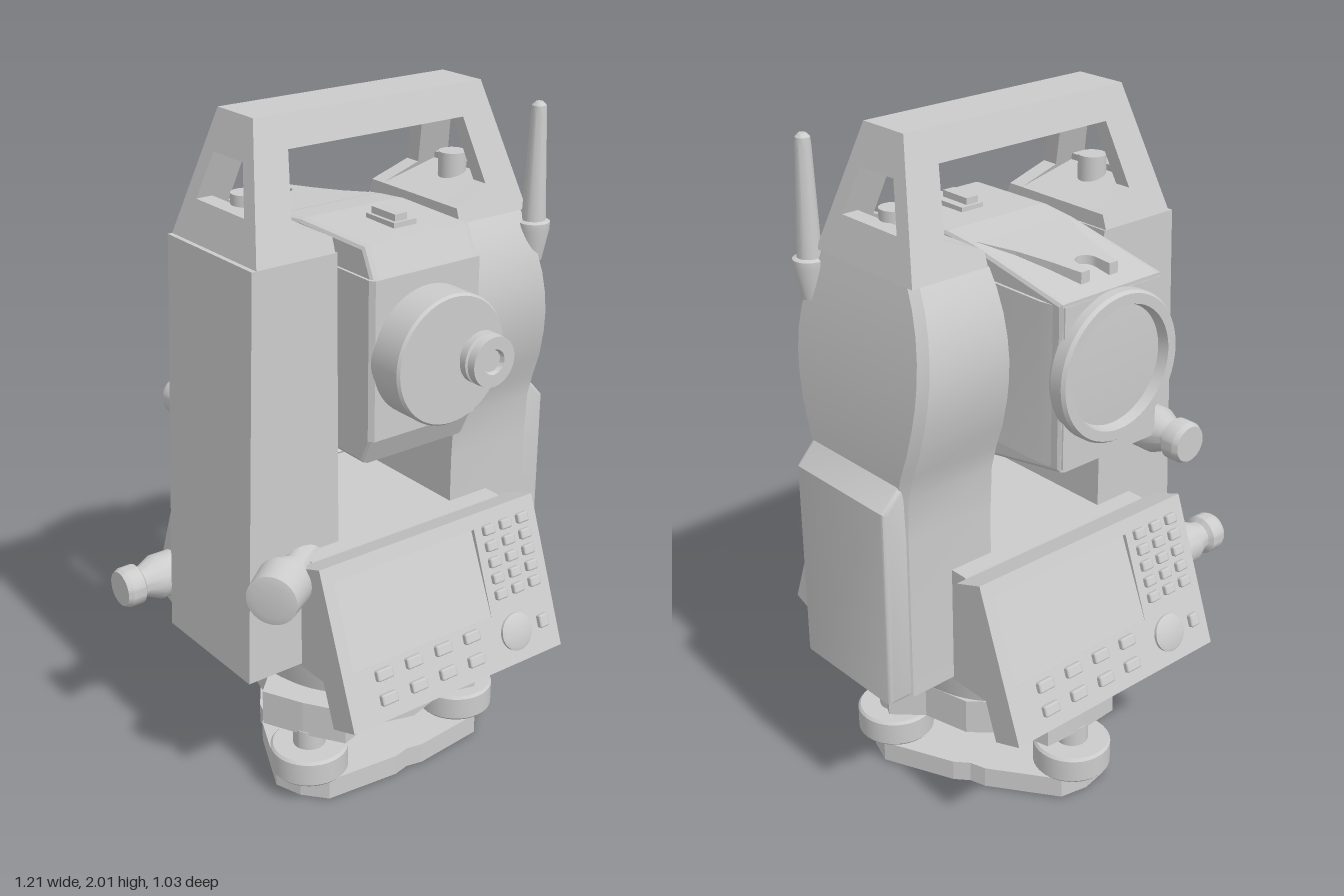
import * as THREE from 'three';
import { toCreasedNormals } from 'three/addons/utils/BufferGeometryUtils.js';
import { RoundedBoxGeometry } from 'three/addons/geometries/RoundedBoxGeometry.js';

const CX = 0.034; // vertical axis of the instrument
const mat = new THREE.MeshStandardMaterial({ color: 0xcccccc });

function add(parent, name, geo, x = 0, y = 0, z = 0) {
  const m = new THREE.Mesh(geo, mat);
  m.name = name;
  m.position.set(x, y, z);
  parent.add(m);
  return m;
}
const box = (w, h, d) => new THREE.BoxGeometry(w, h, d);
const poly = pts => new THREE.Shape(pts.map(p => new THREE.Vector2(...p)));
const lathe = (pts, n = 40) => toCreasedNormals(
  new THREE.LatheGeometry(pts.map(p => new THREE.Vector2(...p)), n), 0.5);

// Lathed part whose axis runs from a point along a direction
function turned(parent, name, pts, pos, dir, n) {
  const m = add(parent, name, lathe(pts, n), ...pos);
  m.quaternion.setFromUnitVectors(new THREE.Vector3(0, 1, 0), new THREE.Vector3(...dir).normalize());
  return m;
}

// Skin through rings of points, counterclockwise seen from above
const rect = (y, x0, x1, z0, z1) => [[x0, y, z1], [x1, y, z1], [x1, y, z0], [x0, y, z0]];
function loft(rings) {
  const n = rings[0].length, v = [], last = rings.length - 1;
  for (let i = 0; i < last; i++) for (let j = 0; j < n; j++) {
    const k = (j + 1) % n, a = rings[i][j], b = rings[i][k], c = rings[i + 1][k], d = rings[i + 1][j];
    v.push(...a, ...b, ...c, ...a, ...c, ...d);
  }
  for (let j = 1; j < n - 1; j++) {
    v.push(...rings[0][0], ...rings[0][j + 1], ...rings[0][j]);
    v.push(...rings[last][0], ...rings[last][j], ...rings[last][j + 1]);
  }
  const g = new THREE.BufferGeometry();
  g.setAttribute('position', new THREE.Float32BufferAttribute(v, 3));
  g.computeVertexNormals();
  return toCreasedNormals(g, 0.5);
}

// Three-lobed plate: polar points [radius, degrees] repeated at each corner
function triPlate(pts, h) {
  const all = [];
  for (const corner of [90, 210, 330]) for (const [r, deg] of pts) {
    const a = THREE.MathUtils.degToRad(corner + deg);
    all.push([r * Math.cos(a), r * Math.sin(a)]);
  }
  return new THREE.ExtrudeGeometry(poly(all), { depth: h, bevelEnabled: false }).rotateX(-Math.PI / 2);
}

// Thin wall leaning outward towards the bottom
function leaningWall(shape, topZ, slope) {
  const g = new THREE.ExtrudeGeometry(shape, { depth: 0.05, bevelEnabled: false });
  const p = g.attributes.position;
  for (let i = 0; i < p.count; i++) p.setZ(i, p.getZ(i) - 0.05 + topZ + (2 - p.getY(i)) * slope);
  g.computeVertexNormals();
  return g;
}

function makeBase() {
  const g = new THREE.Group();
  g.name = 'levellingBase';
  g.position.x = CX;
  const plate = triPlate([[0.385, -13], [0.392, 0], [0.385, 13], [0.29, 50], [0.275, 60], [0.29, 70]], 0.065);
  add(g, 'basePlate', plate);
  add(g, 'upperPlate', triPlate([[0.385, -20], [0.37, 0], [0.385, 20], [0.3, 32], [0.305, 60], [0.3, 88]], 0.11), 0, 0.2);
  add(g, 'baseSocket', new THREE.CylinderGeometry(0.04, 0.04, 0.012, 24), 0, 0.001);
  for (const deg of [90, 210, 330]) {
    const a = THREE.MathUtils.degToRad(deg), x = 0.325 * Math.cos(a), z = -0.325 * Math.sin(a);
    add(g, 'footScrew', lathe([[0, 0.065], [0.108, 0.065], [0.115, 0.073], [0.115, 0.142],
      [0.108, 0.15], [0.048, 0.15], [0.048, 0.21], [0, 0.21]]), x, 0, z);
  }
  add(g, 'turntable', lathe([[0, 0.3], [0.29, 0.3], [0.295, 0.33], [0.315, 0.33], [0.345, 0.46], [0, 0.46]], 64));
  return g;
}

function makePanel() {
  const tilt = new THREE.Group();
  tilt.name = 'controlPanel';
  tilt.position.set(0, 0.41, 0.515);
  tilt.rotation.x = -Math.PI / 9;
  const W = 0.3825, L = 0.463;
  add(tilt, 'panelBody', box(2 * W, L, 0.085), 0, L / 2, -0.0575);
  const face = poly([[-W, 0], [W, 0], [W, L], [-W, L]]);
  face.holes.push(new THREE.Path([[-0.345, 0.16], [-0.345, 0.42], [0.15, 0.42], [0.15, 0.16]].map(p => new THREE.Vector2(...p))));
  add(tilt, 'panelFace', new THREE.ExtrudeGeometry(face, { depth: 0.015, bevelEnabled: false }), 0, 0, -0.015);
  // sloping display, flush with the face at its lower edge
  add(tilt, 'display', loft([rect(0.16, -0.345, 0.15, -0.02, -0.001), rect(0.42, -0.345, 0.15, -0.02, -0.013)]));
  const key = (w, h, x, v) => add(tilt, 'key', new RoundedBoxGeometry(w, h, 0.026, 1, 0.006), x, v, 0.002);
  for (let r = 0; r < 5; r++) for (let c = 0; c < 3; c++) key(0.04, 0.03, 0.197 + c * 0.064, 0.215 + r * 0.048);
  for (let r = 0; r < 2; r++) for (let c = 0; c < 4; c++) key(0.055, 0.033, -0.252 + c * 0.105, 0.06 + r * 0.07);
  key(0.035, 0.04, 0.328, 0.093);
  turned(tilt, 'roundKey', [[0, 0], [0.055, 0], [0.055, 0.008], [0.045, 0.013], [0, 0.013]], [0.226, 0.092, 0], [0, 0, 1]);
  return tilt;
}

function makeHandle() {
  const g = new THREE.Group();
  g.name = 'carryHandle';
  g.position.x = CX;
  const arch = poly([[-0.455, 1.65], [-0.21, 1.65], [-0.21, 1.69], [-0.325, 1.737], [-0.29, 1.915],
    [0.29, 1.915], [0.325, 1.737], [0.21, 1.69], [0.21, 1.65], [0.455, 1.65], [0.375, 2], [-0.375, 2]]);
  const end = poly([[-0.2, 1.65], [0.2, 1.65], [0.08, 2], [-0.08, 2]]);
  end.holes.push(new THREE.Path([[-0.115, 1.76], [-0.075, 1.89], [0.075, 1.89], [0.115, 1.76]].map(p => new THREE.Vector2(...p))));
  add(g, 'grip', loft([rect(1.915, -0.385, 0.385, -0.1, 0.1), rect(2, -0.375, 0.375, -0.08, 0.08)]));
  for (const s of [0, 1]) {
    add(g, 'handleSide', leaningWall(arch, 0.08, 0.343)).rotation.y = s * Math.PI;
    add(g, 'handleEnd', leaningWall(end, 0.375, 0.229)).rotation.y = Math.PI * (s - 0.5);
    const foot = new THREE.Group();
    foot.rotation.y = s * Math.PI;
    g.add(foot);
    add(foot, 'handleFoot', loft([rect(1.65, 0.21, 0.44, -0.18, 0.18),
      [[0.21, 1.69, 0.165], [0.42, 1.75, 0.15], [0.42, 1.75, -0.15], [0.21, 1.69, -0.165]]]));
    add(foot, 'handleScrew', new THREE.CylinderGeometry(0.04, 0.04, 0.09, 24), 0.35, 1.745);
  }
  return g;
}

function makeTelescope() {
  const g = new THREE.Group();
  g.name = 'telescope';
  g.position.set(CX, 1.375, 0);
  // side profile (z, y) swept across the width, with a slightly wider middle block
  const side = poly([[0.305, 0.22], [0.27, 0.295], [0, 0.3], [-0.1, 0.29], [-0.43, 0.225],
    [-0.43, -0.225], [-0.1, -0.285], [0, -0.295], [0.27, -0.295], [0.305, -0.22]]);
  const shell = new THREE.ExtrudeGeometry(side, { depth: 0.32, bevelThickness: 0.018, bevelSize: 0.012, bevelSegments: 2 });
  add(g, 'telescopeShell', shell.translate(0, 0, -0.16).rotateY(-Math.PI / 2));
  add(g, 'telescopeBody', loft([-0.225, 0.225].map(y => [[-0.175, y, 0.325], [0.175, y, 0.325], [0.186, y, 0.31],
    [0.186, y, -0.37], [0.17, y, -0.444], [-0.17, y, -0.444], [-0.186, y, -0.37], [-0.186, y, 0.31]])));
  turned(g, 'axle', [[0.1, 0], [0.1, 0.46]], [-0.23, 0, 0], [1, 0, 0]);
  turned(g, 'objective', [[0, 0], [0.2, 0], [0.207, 0.012], [0.207, 0.05], [0.2, 0.06], [0.172, 0.06], [0.165, 0.03], [0, 0.038]],
    [0, 0.025, -0.42], [0, 0, -1], 56);
  turned(g, 'eyepieceDrum', [[0, 0], [0.182, 0], [0.182, 0.112], [0.176, 0.12], [0, 0.12]], [0, 0, 0.31], [0, 0, 1], 56);
  turned(g, 'eyepiece', [[0.055, 0], [0.055, 0.02], [0.072, 0.024], [0.072, 0.045], [0.06, 0.05], [0.072, 0.055],
    [0.07, 0.078], [0.035, 0.078], [0.03, 0.066], [0, 0.066]], [0.08, 0, 0.425], [0, 0, 1]);
  // flared sight plate with a U notch at its narrow end
  const s = poly([[-0.16, 0.1], [0.16, 0.1], [0.115, 0.2], [0.085, 0.3], [0.065, 0.39], [0.035, 0.39]]);
  s.absarc(0, 0.345, 0.033, 0, Math.PI, true);
  s.lineTo(-0.035, 0.39).lineTo(-0.065, 0.39).lineTo(-0.085, 0.3).lineTo(-0.115, 0.2);
  const plate = new THREE.ExtrudeGeometry(s, { depth: 0.035, bevelEnabled: false }).rotateX(-Math.PI / 2);
  const p = plate.attributes.position;
  for (let i = 0; i < p.count; i++) p.setY(i, p.getY(i) + 0.268 + (p.getZ(i) + 0.1) * 0.09);
  plate.computeVertexNormals();
  add(g, 'sightPlate', plate);
  for (const k of [1, -1]) {
    add(g, 'peepSightBase', box(0.075, 0.03, 0.12), 0.012, k * 0.308, 0.15);
    add(g, 'peepSight', box(0.04, 0.03, 0.1), 0.005, k * 0.327, 0.15);
  }
  return g;
}

export function createModel() {
  const model = new THREE.Group();
  model.name = 'surveyInstrument';
  model.add(makeBase(), makeHandle(), makeTelescope());

  // Front and back control panels
  for (const turn of [0, Math.PI]) {
    const holder = new THREE.Group();
    holder.name = turn ? 'backPanel' : 'frontPanel';
    holder.position.x = CX;
    holder.rotation.y = turn;
    holder.add(makePanel());
    model.add(holder);
  }

  // Yoke: bridge and two standards
  add(model, 'yokeBridge', loft([rect(0.45, -0.3, 0.38, -0.375, 0.375), rect(0.81, -0.3, 0.38, -0.255, 0.255)]));
  add(model, 'rightStandard', loft([rect(0.46, -0.48, -0.17, -0.205, 0.205), rect(1.65, -0.435, -0.17, -0.2, 0.2)]));
  const swell = [[0.46, 0.2], [0.95, 0.2], [1.08, 0.206], [1.15, 0.225], [1.22, 0.25], [1.3, 0.268], [1.36, 0.276],
    [1.42, 0.277], [1.48, 0.27], [1.54, 0.255], [1.6, 0.23], [1.65, 0.2]];
  add(model, 'leftStandard', loft(swell.map(([y, z]) => {
    const t = Math.max(0, (y - 1.1) / 0.55), x = 0.545 - 0.06 * t * t;
    return [[0.24, y, z], [x - 0.02, y, z], [x, y, z - 0.025], [x, y, 0.025 - z], [x - 0.02, y, -z], [0.24, y, -z]];
  })));

  // Battery pack on the left standard
  const pack = poly([[0.48, 0.475], [0.585, 0.475], [0.585, 1.05], [0.535, 1.105], [0.48, 1.105]]);
  add(model, 'batteryPack', toCreasedNormals(new THREE.ExtrudeGeometry(pack,
    { depth: 0.36, bevelSize: 0.015, bevelThickness: 0.015, bevelSegments: 3 }), 0.6), 0, 0, -0.18);

  // Antenna
  add(model, 'antenna', lathe([[0, 1.51], [0.028, 1.51], [0.046, 1.6], [0.046, 1.62], [0.034, 1.625],
    [0.022, 1.92], [0.02, 1.945], [0.01, 1.955], [0, 1.956]], 24), 0.495, 0, 0.225);

  // Adjusting knobs
  const knob = [[0.05, 0], [0.05, 0.06], [0.067, 0.07], [0.067, 0.13], [0.046, 0.175], [0.046, 0.185],
    [0.06, 0.195], [0.06, 0.235], [0.052, 0.25], [0, 0.25]];
  turned(model, 'verticalDriveKnob', knob, [-0.28, 1.065, -0.2], [0, 0, -1]);
  turned(model, 'horizontalDriveKnob', knob, [-0.36, 0.59, -0.27], [-1, 0, 0]);
  add(model, 'knobMount', box(0.12, 0.14, 0.12), -0.31, 0.59, -0.27);
  turned(model, 'plummetEyepiece', [[0.04, -0.08], [0.04, 0.1], [0.056, 0.11], [0.056, 0.14], [0.078, 0.16],
    [0.072, 0.26], [0.05, 0.265], [0, 0.26]], [-0.28, 0.795, 0.19], [-0.21, 0, 0.15]);
  return model;
}
